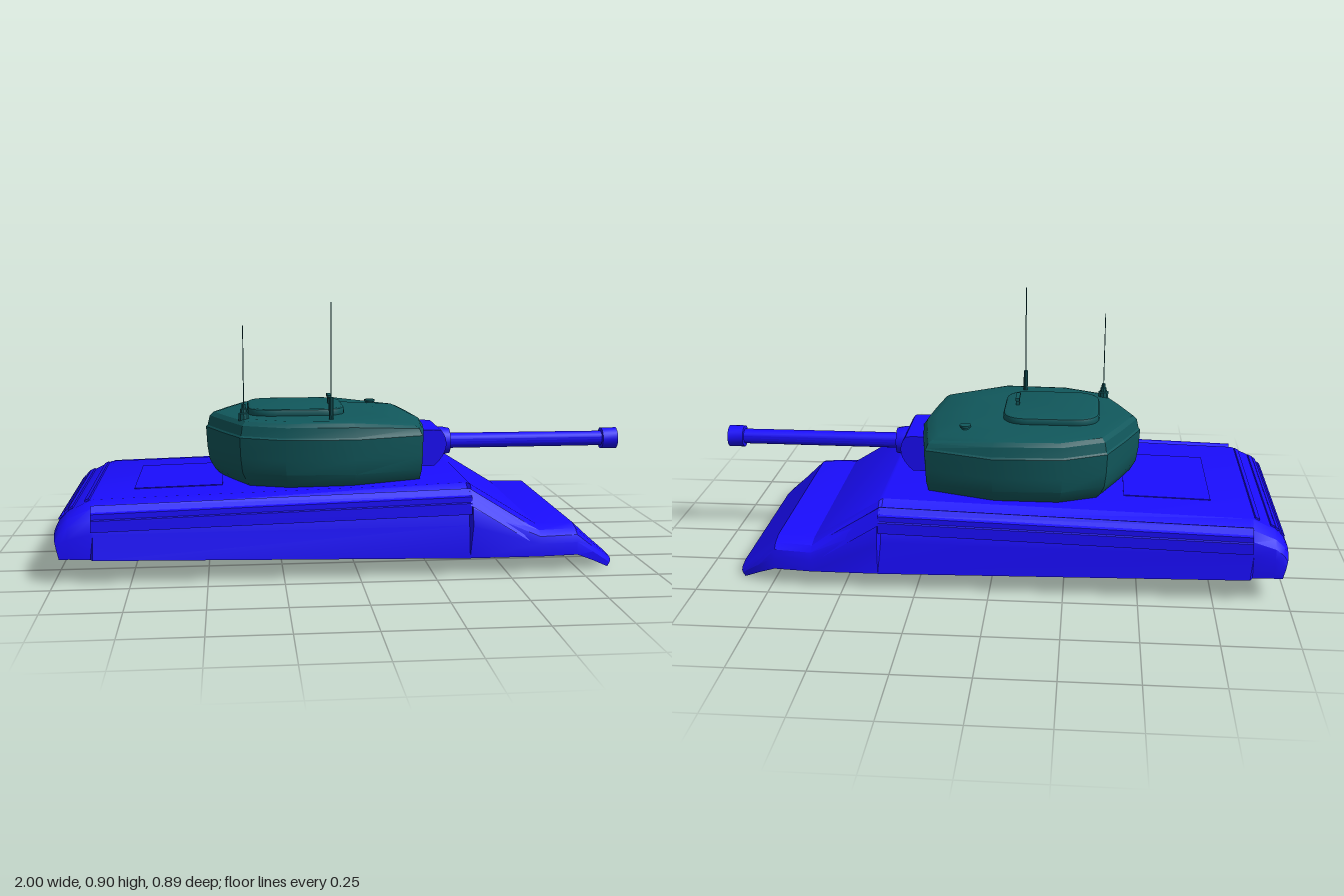
import * as THREE from 'three';
import { toCreasedNormals } from 'three/addons/utils/BufferGeometryUtils.js';

const blue = new THREE.MeshStandardMaterial({ color: 0x1a0dff });
const teal = new THREE.MeshStandardMaterial({ color: 0x11585c });

// Skin a list of equal-length closed rings and cap both ends.
function loft(rings, crease = 0.5) {
  const n = rings[0].length, last = rings.length - 1;
  const pos = rings.flat(2), idx = [];
  for (let r = 0; r < last; r++) for (let i = 0; i < n; i++) {
    const a = r * n + i, b = r * n + (i + 1) % n;
    idx.push(a, b, b + n, a, b + n, a + n);
  }
  for (const r of [0, last]) {
    const c = pos.length / 3;
    for (let k = 0; k < 3; k++) pos.push(rings[r].reduce((s, p) => s + p[k], 0) / n);
    for (let i = 0; i < n; i++) {
      const a = r * n + i, b = r * n + (i + 1) % n;
      idx.push(...(r ? [c, a, b] : [c, b, a]));
    }
  }
  // turn the faces outward if the signed volume is negative
  const v = i => new THREE.Vector3().fromArray(pos, i * 3);
  let vol = 0;
  for (let i = 0; i < idx.length; i += 3) vol += v(idx[i]).dot(v(idx[i + 1]).cross(v(idx[i + 2])));
  if (vol < 0) idx.reverse();
  const g = new THREE.BufferGeometry();
  g.setAttribute('position', new THREE.Float32BufferAttribute(pos, 3));
  g.setIndex(idx);
  return toCreasedNormals(g, crease);
}

function add(parent, name, geometry, material, x = 0, y = 0, z = 0) {
  const m = new THREE.Mesh(geometry, material);
  m.name = name;
  m.position.set(x, y, z);
  parent.add(m);
  return m;
}

// Hull cross-section: bottom and top x/y, half width, half width of the floor
function hullRing([xb, yb, xt, yt, w, wb]) {
  const half = [[wb, 0], [w, 0.45], [w - 0.008, 0.7], [w - 0.03, 0.88], [w - 0.075, 1]];
  const at = (z, t) => [xb + (xt - xb) * t, yb + (yt - yb) * t, z];
  return [...half.map(([z, t]) => at(z, t)), ...half.reverse().map(([z, t]) => at(-z, t))];
}

function buildHull(tank) {
  const hull = new THREE.Group();
  hull.name = 'hull';
  tank.add(hull);
  add(hull, 'hullBody', loft([
    [-0.98, 0.085, -1, 0.17, 0.43, 0.43],
    [-0.97, 0.085, -0.985, 0.2, 0.43, 0.43],
    [-0.95, 0.085, -0.955, 0.23, 0.43, 0.43],
    [-0.88, 0.083, -0.88, 0.265, 0.43, 0.43],
    [-0.87, 0.083, -0.87, 0.266, 0.428, 0.447],
    [0.37, 0.06, 0.37, 0.299, 0.428, 0.447],
    [0.38, 0.06, 0.38, 0.298, 0.447, 0.447],
    [0.61, 0.06, 0.61, 0.155, 0.447, 0.447],
    [0.74, 0.06, 0.74, 0.155, 0.432, 0.435],
    [0.8, 0.033, 0.8, 0.1, 0.413, 0.41],
    [0.85, 0.008, 0.86, 0.048, 0.39, 0.39],
    [0.86, 0.003, 0.88, 0.03, 0.382, 0.385],
  ].map(hullRing)), blue);
  hull.children[0].geometry.computeBoundingBox();

  // stepped ledge along the top of each side: z, drop below the deck line
  const ledge = [[0.39, -0.02], [0.405, -0.01], [0.413, -0.008], [0.428, -0.028], [0.438, -0.032],
    [0.439, -0.05], [0.444, -0.053], [0.447, -0.09], [0.425, -0.094], [0.39, -0.09]];
  // raised rim running down beside the glacis
  const rim = [[0.4, -0.05], [0.405, -0.008], [0.413, -0.008], [0.43, -0.03], [0.447, -0.06], [0.42, -0.06]];
  for (const s of [1, -1]) {
    const ring = (prof, x, y) => prof.map(([z, d]) => [x, y + d, s * z]);
    add(hull, 'sideLedge', loft([ring(ledge, -0.875, 0.266), ring(ledge, 0.375, 0.299)], 0.3), blue);
    add(hull, 'glacisRim', loft([ring(rim, 0.37, 0.299), ring(rim, 0.61, 0.15)], 0.3), blue);
  }

  // engine deck panel and rear slats
  add(hull, 'engineHatch', new THREE.BoxGeometry(0.3, 0.008, 0.42), blue, -0.6, 0.272, 0).rotation.z = 0.026;
  for (const [x, y, tilt] of [[-0.982, 0.204, 0.9], [-0.962, 0.225, 0.7], [-0.948, 0.234, 0.44], [-0.895, 0.259, 0.44]])
    add(hull, 'rearSlat', new THREE.BoxGeometry(0.016, 0.01, 0.68), blue, x, y, 0).rotation.z = tilt;
}

function buildTurret(tank) {
  const turret = new THREE.Group();
  turret.name = 'turret';
  tank.add(turret);

  // plan outline x, z of one half, mirrored to the other
  const half = [[-0.508, 0], [-0.455, 0.13], [-0.39, 0.272], [-0.24, 0.342], [0, 0.352], [0.235, 0.28], [0.258, 0.14], [0.275, 0]];
  const plan = [...half, ...half.slice(1, -1).reverse().map(([x, z]) => [x, -z])];
  // height, inset scale, drop of the front edge
  const layers = [[0.265, 0.84, 0], [0.295, 0.92, 0], [0.33, 0.97, 0], [0.38, 0.99, 0], [0.45, 1, 0],
    [0.456, 0.985, 0], [0.49, 0.965, 0.02], [0.503, 0.93, 0.025], [0.508, 0.87, 0.02], [0.509, 0.55, 0], [0.509, 0.1, 0]];
  add(turret, 'turretShell', loft(layers.map(([y, k, drop]) => plan.map(([x, z]) => {
    // the front stays nearly upright towards the bottom
    const kx = x > 0 && y < 0.44 ? 1 - (1 - k) * 0.3 : k;
    return [-0.11 + (x + 0.11) * kx, y - drop * Math.max(0, x) / 0.27, z * k];
  })), 0.45), teal);

  // rounded cupola lid
  const lid = new THREE.Shape(), a = 0.155, b = 0.155, r = 0.08;
  lid.moveTo(-a + r, -b);
  lid.lineTo(a - r, -b).quadraticCurveTo(a, -b, a, -b + r);
  lid.lineTo(a, b - r).quadraticCurveTo(a, b, a - r, b);
  lid.lineTo(-a + r, b).quadraticCurveTo(-a - 0.01, b, -a - 0.01, b - r);
  lid.lineTo(-a - 0.01, -b + r).quadraticCurveTo(-a - 0.01, -b, -a + r, -b);
  const lidGeo = new THREE.ExtrudeGeometry(lid, { depth: 0.014, bevelThickness: 0.01, bevelSize: 0.01, bevelSegments: 2, curveSegments: 8 });
  lidGeo.rotateX(-Math.PI / 2);
  add(turret, 'cupolaLid', toCreasedNormals(lidGeo, 0.5), teal, -0.185, 0.508, 0.013);

  // lid handle and small roof vent
  add(turret, 'handlePost', new THREE.BoxGeometry(0.012, 0.03, 0.036), teal, -0.067, 0.54, 0.016);
  add(turret, 'handleBar', new THREE.BoxGeometry(0.014, 0.01, 0.075), teal, -0.067, 0.557, 0.016);
  add(turret, 'ventStem', new THREE.CylinderGeometry(0.014, 0.014, 0.02, 16), teal, 0.103, 0.5, -0.188);
  add(turret, 'ventCap', new THREE.CylinderGeometry(0.02, 0.02, 0.007, 16), teal, 0.103, 0.512, -0.188);

  // antennas as turned profiles: radius, height
  const antenna = (name, profile, x, z) => add(turret, name, toCreasedNormals(
    new THREE.LatheGeometry(profile.map(p => new THREE.Vector2(...p)), 10), 0.6), teal, x, 0, z);
  antenna('rearAntenna', [[0.019, 0.49], [0.019, 0.525], [0.013, 0.527], [0.012, 0.54], [0.008, 0.542], [0.007, 0.556],
    [0.0018, 0.557], [0.0015, 0.825], [0, 0.825]], -0.375, 0.207);
  antenna('frontAntenna', [[0.008, 0.49], [0.008, 0.584], [0.0022, 0.585], [0.0018, 0.905], [0, 0.905]], -0.08, 0.262);
}

function buildGun(tank) {
  const gun = new THREE.Group();
  gun.name = 'gun';
  gun.position.y = 0.382;
  tank.add(gun);

  // curved mantlet, extruded across the turret front
  const face = new THREE.Shape();
  face.moveTo(0.22, -0.067).lineTo(0.3, -0.067);
  face.quadraticCurveTo(0.372, 0, 0.325, 0.06);
  face.lineTo(0.3, 0.062).lineTo(0.22, 0.062);
  const mantlet = new THREE.ExtrudeGeometry(face, { depth: 0.25, bevelEnabled: false, curveSegments: 8 });
  mantlet.translate(0, 0, -0.125);
  add(gun, 'mantlet', toCreasedNormals(mantlet, 0.5), blue);

  // collar, barrel and muzzle in one turned profile
  const profile = [[0, 0.28], [0.052, 0.28], [0.052, 0.345], [0.046, 0.374], [0.028, 0.375], [0.027, 0.943],
    [0.039, 0.944], [0.039, 1], [0.024, 1], [0.024, 0.95], [0, 0.95]];
  const barrel = new THREE.LatheGeometry(profile.map(p => new THREE.Vector2(...p)), 20);
  barrel.rotateZ(-Math.PI / 2);
  add(gun, 'barrel', toCreasedNormals(barrel, 0.6), blue, 0, 0.003, 0);
}

export function createModel() {
  const tank = new THREE.Group();
  tank.name = 'tank';
  buildHull(tank);
  buildTurret(tank);
  buildGun(tank);
  return tank;
}
